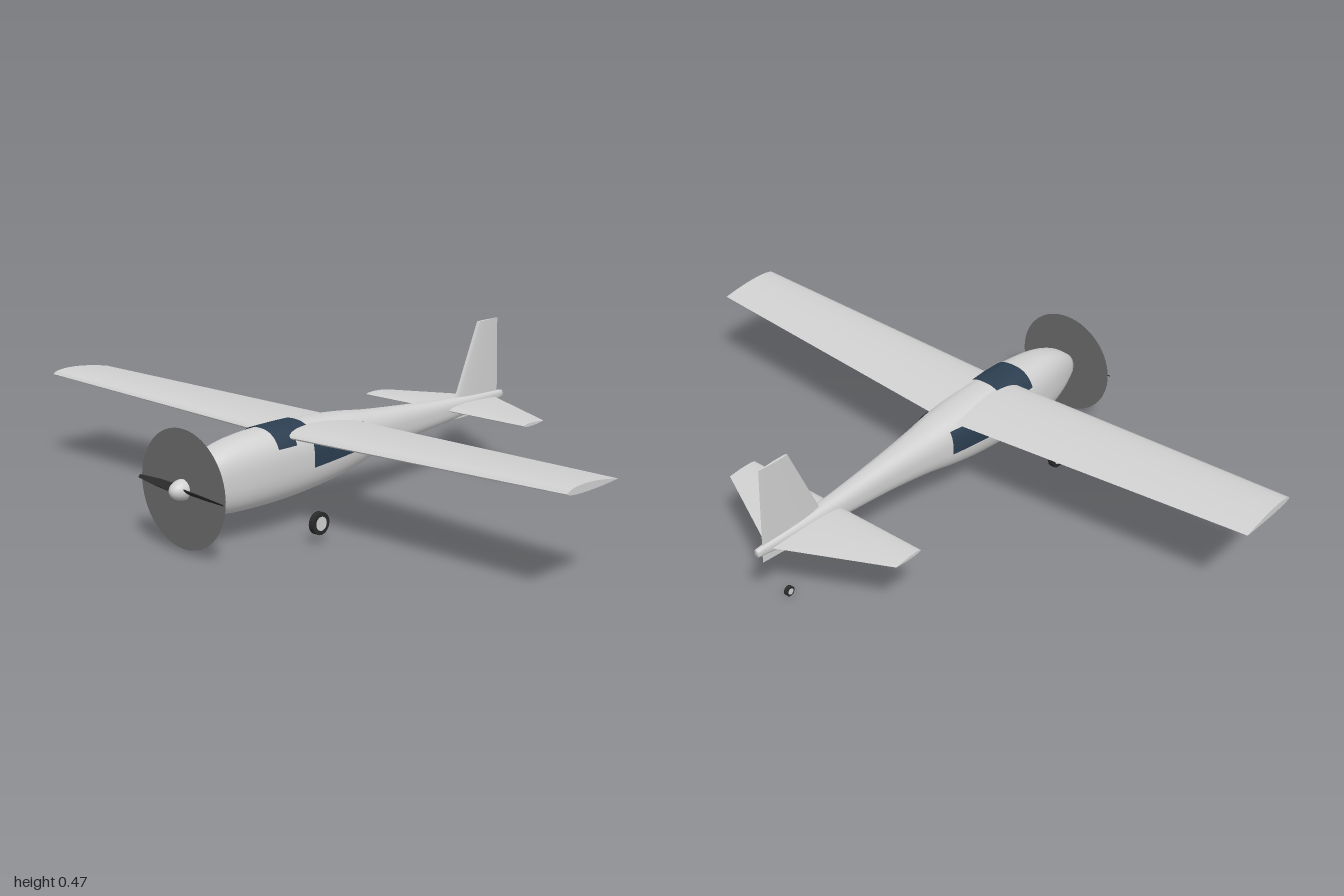
import * as THREE from 'three';
import { mergeVertices, toCreasedNormals } from 'three/addons/utils/BufferGeometryUtils.js';

const paint = (name, color, side = THREE.FrontSide) => {
  const m = new THREE.MeshStandardMaterial({ color, side });
  m.name = name;
  return m;
};

// Fuselage stations from tail to nose: z, and top, bottom, half width
const stationZ = [-0.712, -0.6, -0.4, -0.2, -0.05, 0.05, 0.15, 0.3, 0.45, 0.55, 0.62, 0.668];
const stationShape = [
  0.222, 0.197, 0.009, 0.229, 0.183, 0.018, 0.240, 0.163, 0.030, 0.256, 0.148, 0.044,
  0.270, 0.130, 0.060, 0.283, 0.110, 0.073, 0.291, 0.095, 0.082, 0.295, 0.082, 0.086,
  0.290, 0.080, 0.082, 0.275, 0.086, 0.068, 0.247, 0.108, 0.050, 0.212, 0.134, 0.033,
];
const spline = new THREE.CubicInterpolant(stationZ, stationShape, 3, new Float32Array(3));
const ROUND = 2.5; // superellipse exponent

function station(z) {
  const [top, bottom, w] = spline.evaluate(z);
  return { c: (top + bottom) / 2, h: (top - bottom) / 2, w };
}
const bulge = v => Math.sign(v) * Math.abs(v) ** (2 / ROUND);

// Angle around the section at which the skin reaches height y
function angleAt(z, y) {
  const { c, h } = station(z);
  const s = THREE.MathUtils.clamp((y - c) / h, -1, 1);
  return Math.asin(Math.sign(s) * Math.abs(s) ** (ROUND / 2));
}

// Patch of fuselage skin; range(z) gives its start and end angles
function skin(z0, z1, range, rows, cols, offset = 0, capped = false) {
  const pos = [], index = [], list = [];
  for (let i = 0; i <= rows; i++) list.push([z0 + (z1 - z0) * i / rows, 1]);
  if (capped) { list.unshift([z0, 0]); list.push([z1, 0]); }
  for (const [z, k] of list) {
    const { c, h, w } = station(z), [a0, a1] = range(z);
    for (let j = 0; j <= cols; j++) {
      const a = a0 + (a1 - a0) * j / cols, cs = Math.cos(a), sn = Math.sin(a);
      pos.push(k * (w * bulge(cs) + offset * cs), c + k * (h * bulge(sn) + offset * sn), z);
    }
  }
  const n = cols + 1;
  for (let i = 0; i < list.length - 1; i++) for (let j = 0; j < cols; j++) {
    const a = i * n + j;
    index.push(a, a + 1, a + n, a + 1, a + n + 1, a + n);
  }
  let g = new THREE.BufferGeometry();
  g.setAttribute('position', new THREE.Float32BufferAttribute(pos, 3));
  g.setIndex(index);
  g = mergeVertices(g, 1e-5);
  g.computeVertexNormals();
  return g;
}

// Airfoil loop at span x: leading edge, over the top, trailing edge, back below
function airfoil({ x, lead, trail, y, yTrail = y, up, down = up }) {
  const loop = [], n = 12;
  for (let k = 0; k < 2 * n; k++) {
    const t = (1 - Math.cos(Math.PI * k / n)) / 2;
    const thick = 2.6 * Math.sqrt(t) * (1 - t);
    const side = k <= n ? up : -down;
    loop.push([x, y + (yTrail - y) * t + side * thick, lead + (trail - lead) * t]);
  }
  return loop;
}

// Closed solid through airfoil sections given in rising span order
function loft(sections) {
  const loops = sections.map(airfoil), n = loops[0].length, index = [];
  const pos = loops.flat(2), last = (loops.length - 1) * n;
  for (let i = 0; i < loops.length - 1; i++) for (let j = 0; j < n; j++) {
    const a = i * n + j, c = i * n + (j + 1) % n;
    index.push(a, a + n, c, a + n, c + n, c);
  }
  for (let j = 1; j < n - 1; j++) {
    index.push(0, j, j + 1, last, last + j + 1, last + j);
  }
  const g = new THREE.BufferGeometry();
  g.setAttribute('position', new THREE.Float32BufferAttribute(pos, 3));
  g.setIndex(index);
  return toCreasedNormals(g, 0.7);
}

export function createModel() {
  const model = new THREE.Group();
  model.name = 'airplane';
  const white = paint('body white', 0xd0d0d0);
  const glass = paint('window blue', 0x2c3e50, THREE.DoubleSide);
  const black = paint('rubber black', 0x2a2a2a);
  const discGray = paint('propeller disc gray', 0x696969, THREE.DoubleSide);

  const add = (name, geometry, material, parent = model) => {
    const mesh = new THREE.Mesh(geometry, material);
    mesh.name = name;
    parent.add(mesh);
    return mesh;
  };

  add('fuselage', skin(-0.712, 0.668, () => [0, 2 * Math.PI], 90, 64, 0, true), white);

  // Windshield, and the strip running back over the cabin roof
  const over = y => z => { const a = angleAt(z, y); return [a, Math.PI - a]; };
  add('windshield', skin(0.318, 0.388, over(0.245), 8, 40, 0.003), glass);
  add('roofWindow', skin(0.25, 0.318, over(0.272), 8, 30, 0.003), glass);

  // Cabin side windows
  const pane = z => [angleAt(z, 0.185 - 0.055 * z), angleAt(z, 0.255)];
  add('leftWindow', skin(0.02, 0.255, pane, 20, 14, 0.003), glass);
  add('rightWindow', skin(0.02, 0.255, z => {
    const [a, b] = pane(z);
    return [Math.PI - b, Math.PI - a];
  }, 20, 14, 0.003), glass);

  // Wing with slight dihedral
  const wingTip = { lead: 0.335, trail: 0.12, y: 0.293, yTrail: 0.288, up: 0.015, down: 0.007 };
  add('wing', loft([
    { x: -1, ...wingTip },
    { x: 0, lead: 0.335, trail: 0.05, y: 0.267, yTrail: 0.265, up: 0.02, down: 0.016 },
    { x: 1, ...wingTip },
  ]), white);

  // Tailplane with a straight front edge
  const tailTip = { lead: -0.41, trail: -0.51, y: 0.207, up: 0.005 };
  add('tailplane', loft([
    { x: -0.32, ...tailTip },
    { x: 0, lead: -0.41, trail: -0.672, y: 0.207, up: 0.01 },
    { x: 0.32, ...tailTip },
  ]), white);

  // Fin, lofted sideways then stood up
  add('fin', loft([
    { x: 0.167, lead: -0.441, trail: -0.692, y: 0, up: 0.009 },
    { x: 0.465, lead: -0.58, trail: -0.685, y: 0, up: 0.004 },
  ]).rotateZ(Math.PI / 2), white);

  // Propeller: swept disc, two pitched blades and spinner
  const propeller = new THREE.Group();
  propeller.name = 'propeller';
  propeller.position.set(0, 0.179, 0.669);
  model.add(propeller);
  add('propellerDisc', new THREE.CircleGeometry(0.167, 64), discGray, propeller);
  const blade = loft([
    { x: 0, lead: 0.014, trail: -0.014, y: 0, up: 0.003 },
    { x: 0.09, lead: 0.012, trail: -0.012, y: 0, up: 0.002 },
    { x: 0.167, lead: 0.005, trail: -0.005, y: 0, up: 0.001 },
  ]).rotateX(-Math.PI / 4);
  for (const turn of [0, Math.PI]) {
    const mesh = add('blade', blade, black, propeller);
    mesh.position.z = 0.01;
    mesh.rotation.z = turn - 0.05;
  }
  const dome = new THREE.SphereGeometry(0.029, 32, 12, 0, 2 * Math.PI, 0, Math.PI / 2);
  add('spinner', dome.rotateX(Math.PI / 2).scale(1, 1, 1.5), white, propeller);

  // Wheels with pale hubs
  const wheel = (name, x, y, z, r, width) => {
    const group = new THREE.Group();
    group.name = name;
    group.position.set(x, y, z);
    model.add(group);
    add('tire', new THREE.CylinderGeometry(r, r, width, 32).rotateZ(Math.PI / 2), black, group);
    const hub = new THREE.CylinderGeometry(r * 0.62, r * 0.62, width + 0.003, 24);
    add('hub', hub.rotateZ(Math.PI / 2), white, group);
  };
  wheel('leftWheel', 0.204, 0.057, 0.36, 0.032, 0.017);
  wheel('rightWheel', -0.204, 0.057, 0.36, 0.032, 0.017);
  wheel('tailWheel', 0, 0.015, -0.603, 0.015, 0.012);

  return model;
}
